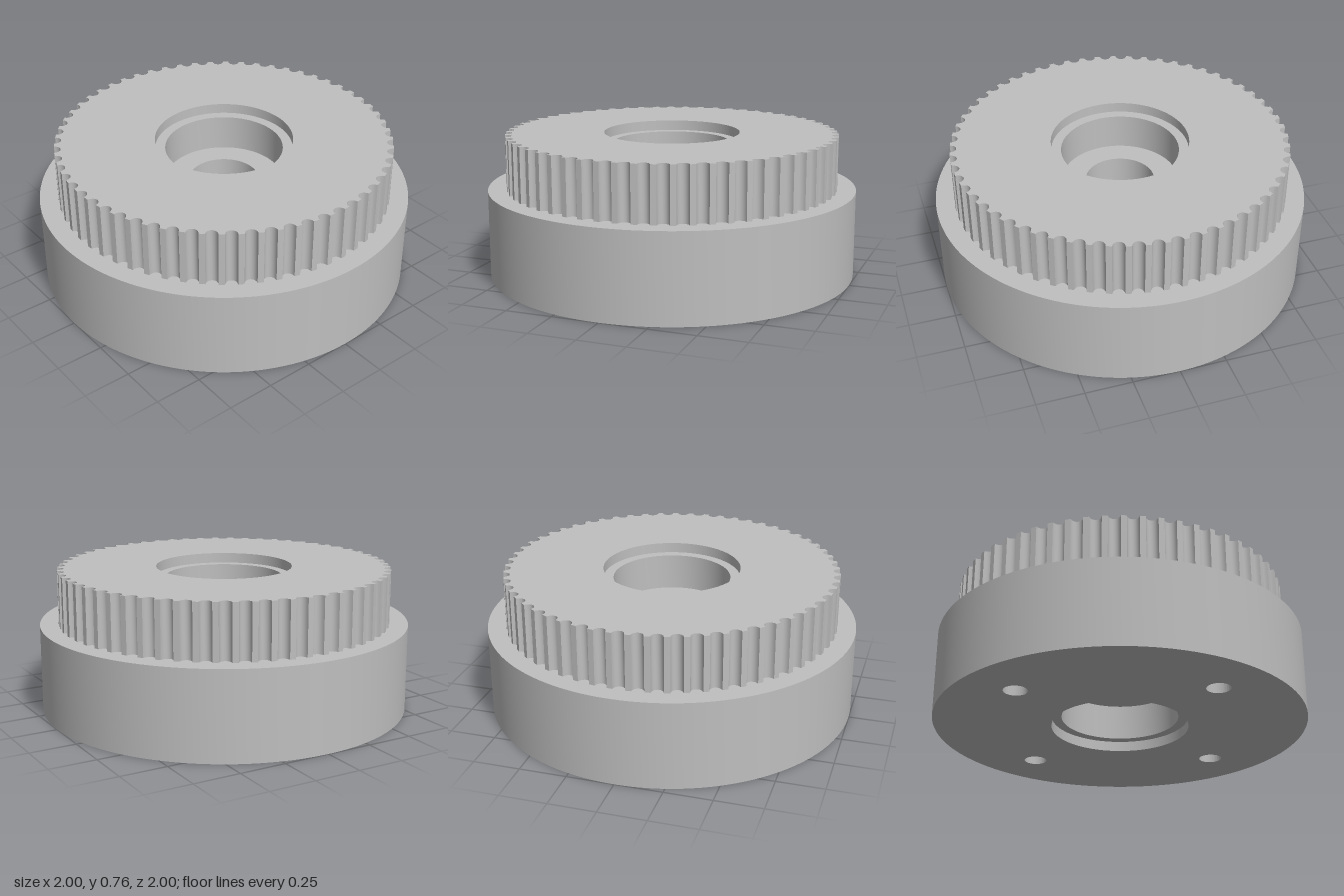
import * as THREE from 'three';
import { toCreasedNormals } from 'three/addons/utils/BufferGeometryUtils.js';

const TEETH = 60;
const BASE_TOP = 0.47, TOP = 0.765;   // heights of the base and the toothed ring
const STEP = 0.055;                   // depth of the shallow recess on both ends
const RECESS_R = 0.368, POCKET_R = 0.315, BORE_R = 0.185;

const circle = (r, x = 0, y = 0) => new THREE.Path().absarc(x, y, r, 0, Math.PI * 2, true);

// Upright extrusion from y0 to y1 with smooth curves and sharp edges
function extrudeUp(shape, y0, y1, segments) {
  const g = new THREE.ExtrudeGeometry(shape, { depth: y1 - y0, bevelEnabled: false, curveSegments: segments });
  g.rotateX(-Math.PI / 2);
  g.translate(0, y0, 0);
  return toCreasedNormals(g, 0.6);
}

// Circle with a rounded groove cut between every pair of teeth
function toothedOutline(radius, grooveR) {
  const points = [];
  const half = grooveR / radius;
  const rim = (a) => points.push(new THREE.Vector2(Math.cos(a) * radius, Math.sin(a) * radius));
  for (let i = 0; i < TEETH; i++) {
    const a = (i / TEETH) * Math.PI * 2;
    rim(a - half);
    for (let k = 1; k < 8; k++) {
      const t = (k / 8) * Math.PI;
      const r = radius - Math.sin(t) * grooveR * 1.1;
      const b = a - Math.cos(t) * half;
      points.push(new THREE.Vector2(Math.cos(b) * r, Math.sin(b) * r));
    }
    rim(a + half);
  }
  return new THREE.Shape(points);
}

export function createModel() {
  const model = new THREE.Group();
  const metal = new THREE.MeshStandardMaterial({ color: 0xbfbfbf });
  metal.name = 'grey metal';
  const add = (name, geometry) => {
    const mesh = new THREE.Mesh(geometry, metal);
    mesh.name = name;
    model.add(mesh);
  };

  // Wide base with a central recess and four blind bolt holes underneath
  const base = new THREE.Shape().absarc(0, 0, 1, 0, Math.PI * 2, false);
  base.holes.push(circle(RECESS_R));
  for (let i = 0; i < 4; i++) {
    const a = Math.PI / 4 + (i * Math.PI) / 2;
    base.holes.push(circle(0.063, Math.cos(a) * 0.715, Math.sin(a) * 0.715));
  }
  add('base', extrudeUp(base, 0, BASE_TOP, 80));

  // Toothed ring; its underside closes the bolt holes
  const ring = toothedOutline(0.9, 0.032);
  ring.holes.push(circle(RECESS_R));
  add('toothedRing', extrudeUp(ring, BASE_TOP, TOP, 80));

  // Stepped bearing pockets at both ends, joined by the through bore
  const profile = [
    [RECESS_R, TOP - STEP], [POCKET_R, TOP - STEP],
    [POCKET_R, 0.515], [BORE_R, 0.515],
    [BORE_R, 0.25], [POCKET_R, 0.25],
    [POCKET_R, STEP], [RECESS_R, STEP],
  ].map(([r, y]) => new THREE.Vector2(r, y));
  add('bore', toCreasedNormals(new THREE.LatheGeometry(profile, 80), 0.6));

  return model;
}
